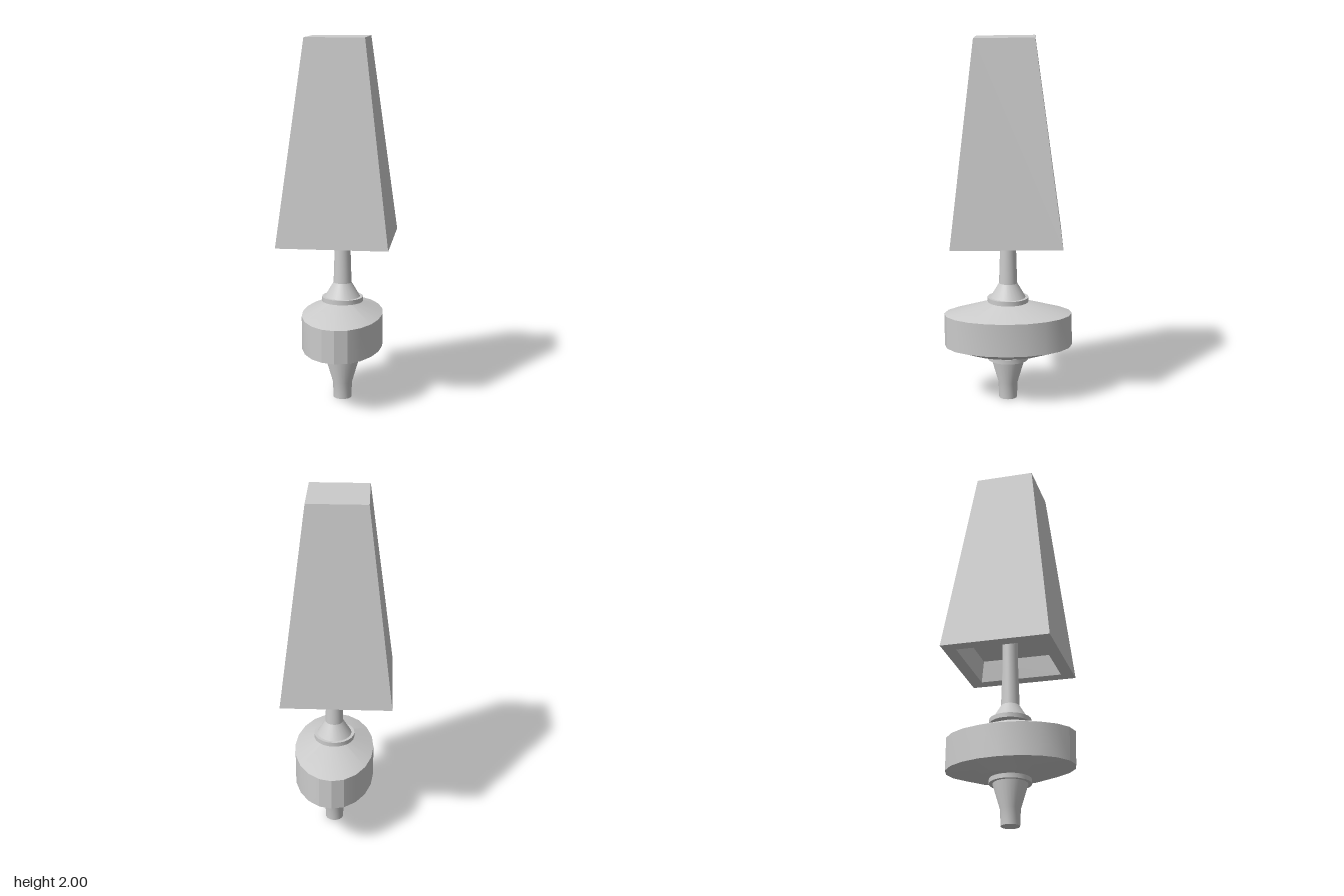
import * as THREE from 'three';
import { toCreasedNormals } from 'three/addons/utils/BufferGeometryUtils.js';

const smooth = new THREE.MeshStandardMaterial({ color: 0xcccccc });
const faceted = new THREE.MeshStandardMaterial({ color: 0xcccccc, flatShading: true });

// Revolves a [radius, height] profile, listed from the bottom axis up to the top axis
function turned(name, profile, segments, material = smooth, start = 0) {
  const points = profile.map(([r, y]) => new THREE.Vector2(r, y));
  const lathe = new THREE.LatheGeometry(points, segments, start);
  const geometry = toCreasedNormals(lathe, material === smooth ? 0.45 : 0.01);
  const mesh = new THREE.Mesh(geometry, material);
  mesh.name = name;
  return mesh;
}

export function createModel() {
  const lamp = new THREE.Group();
  lamp.name = 'tableLamp';
  const axisX = 0.021;
  const tilt = 0.0135;

  // Tapered foot, narrow at the floor
  const foot = turned('foot', [
    [0, 0], [0.05, 0], [0.054, 0.09], [0.094, 0.226], [0.094, 0.24], [0, 0.24],
  ], 24);

  // Flared neck that narrows into the post and ends in the shade's recess
  const neck = turned('neck', [
    [0, 0.56], [0.097, 0.56], [0.097, 0.58], [0.05, 0.66], [0.043, 0.88], [0.043, 1.035], [0, 1.035],
  ], 24);

  // Thin core joining foot, body and neck
  const core = turned('core', [[0, 0.2], [0.07, 0.2], [0.07, 0.57], [0, 0.57]], 20);
  for (const part of [foot, neck, core]) {
    part.position.x = axisX;
    lamp.add(part);
  }

  // Matching collars below and above the body
  for (const [name, y] of [['lowerCollar', 0.225], ['upperCollar', 0.556]]) {
    const collar = turned(name, [[0, 0], [0.113, 0], [0.113, 0.025], [0, 0.025]], 24);
    collar.position.set(axisX, y, 0);
    lamp.add(collar);
  }

  // Oval body with a shallow underside and a sloping shoulder
  const body = turned('body', [
    [0, -0.138], [0.58, -0.138], [1, -0.092], [1, 0.09], [0.3, 0.16], [0, 0.16],
  ], 20);
  body.geometry.scale(0.222, 1, 0.353);
  body.geometry = toCreasedNormals(body.geometry, 0.4);
  body.position.set(axisX, 0.396, 0);
  body.rotation.set(tilt, 0.008, 0);
  lamp.add(body);

  // Square tapered shade, closed on top, with a shallow recess underneath
  const d = Math.SQRT2;
  const shade = turned('shade', [
    [0, 0.12], [0.215 * d, 0.12], [0.23 * d, 0], [0.298 * d, 0], [0.16 * d, 1.09], [0, 1.09],
  ], 4, faceted, Math.PI / 4);
  shade.position.set(-0.001, 0.907, 0.003);
  shade.rotation.set(tilt, 0.008, 0);
  lamp.add(shade);

  return lamp;
}
